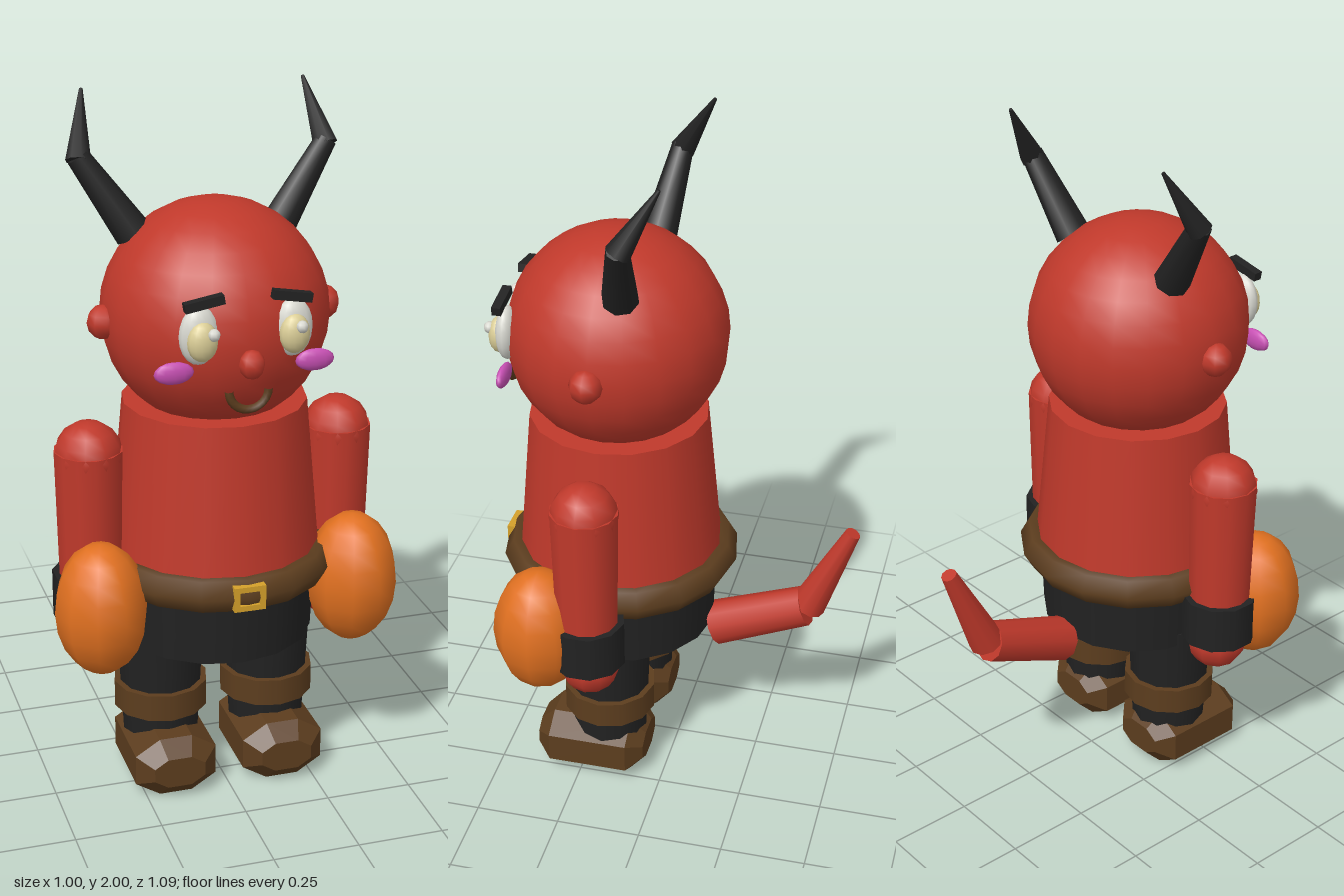
import * as THREE from 'three';

const mat = (name, color, extra = {}) => {
  const m = new THREE.MeshStandardMaterial({ color, ...extra });
  m.name = name;
  return m;
};

export function createModel() {
  const red = mat('red skin', 0xc0392b);
  const black = mat('black', 0x222222);
  const brown = mat('brown leather', 0x5c3d1e);
  const orange = mat('orange', 0xe07020);
  const white = mat('eye white', 0xd8d8d0);
  const cream = mat('cream iris', 0xdccf98);
  const pink = mat('pink', 0xc850b4);
  const gold = mat('gold', 0xd4a02a);

  const model = new THREE.Group();
  model.name = 'hornedFigure';
  const CZ = 0.175; // body axis

  const add = (name, geo, material, x, y, z) => {
    const m = new THREE.Mesh(geo, material);
    m.name = name;
    m.position.set(x, y, z);
    model.add(m);
    return m;
  };
  const ball = (name, material, [x, y, z], [rx, ry, rz], ws = 12, hs = 8) =>
    add(name, new THREE.SphereGeometry(1, ws, hs).scale(rx, ry, rz), material, x, y, z);
  // upright tapered cylinder between two heights
  const column = (name, material, x, z, y0, y1, r0, r1, sides) =>
    add(name, new THREE.CylinderGeometry(r1, r0, y1 - y0, sides), material, x, (y0 + y1) / 2, z);
  // tapered cylinder between two points
  const limb = (name, material, a, b, ra, rb, sides = 8) => {
    const p = new THREE.Vector3(...a), q = new THREE.Vector3(...b);
    const dir = q.clone().sub(p);
    const m = add(name, new THREE.CylinderGeometry(rb, ra, dir.length(), sides), material, 0, 0, 0);
    m.position.copy(p).add(q).multiplyScalar(0.5);
    m.quaternion.setFromUnitVectors(new THREE.Vector3(0, 1, 0), dir.normalize());
    return m;
  };

  // Head, body and hips
  ball('head', red, [0, 1.408, CZ], [0.317, 0.317, 0.317], 20, 16);
  column('torso', red, 0, CZ, 0.70, 1.16, 0.302, 0.26, 16);
  column('hips', black, 0, CZ, 0.46, 0.71, 0.282, 0.292, 16);

  // Belt with a framed buckle
  add('belt', new THREE.TorusGeometry(0.298, 0.053, 6, 16).rotateX(Math.PI / 2), brown, 0, 0.688, CZ);
  for (const y of [0.66, 0.716]) {
    add('buckleBar', new THREE.BoxGeometry(0.09, 0.016, 0.03), gold, 0, y, 0.505);
  }
  for (const x of [-0.037, 0.037]) {
    add('buckleSide', new THREE.BoxGeometry(0.016, 0.07, 0.03), gold, x, 0.688, 0.505);
  }

  // Face
  ball('nose', red, [0, 1.363, 0.51], [0.036, 0.04, 0.034], 8, 6);
  add('mouth', new THREE.TorusGeometry(0.055, 0.012, 6, 12, Math.PI).rotateZ(Math.PI), brown, 0, 1.285, 0.486);

  // Shoe: octagonal section along z with chamfered heel and toe
  const w = 0.075, h = 0.045, c = 0.04;
  const section = new THREE.Shape([
    [w - c, -h], [w, -h + 0.025], [w, h - 0.025], [w - c, h],
    [-w + c, h], [-w, h - 0.025], [-w, -h + 0.025], [-w + c, -h],
  ].map(([x, y]) => new THREE.Vector2(x, y)));
  const shoeGeo = new THREE.ExtrudeGeometry(section, {
    depth: 0.24, bevelEnabled: true, bevelThickness: 0.045, bevelSize: 0.045, bevelSegments: 1, steps: 1,
  });
  shoeGeo.center();

  for (const s of [-1, 1]) {
    // Eyes, brows, cheeks and ears
    ball('eyeWhite', white, [s * 0.129, 1.438, 0.458], [0.055, 0.08, 0.032], 14, 10);
    ball('iris', cream, [s * 0.126, 1.428, 0.482], [0.042, 0.054, 0.03], 14, 10);
    ball('pupil', white, [s * 0.126 + 0.012 + (s < 0 ? 0.012 : 0), 1.452, 0.506], [0.017, 0.017, 0.017], 8, 6);
    const brow = add('eyebrow', new THREE.BoxGeometry(0.108, 0.025, 0.026), black, s * 0.12, 1.53, 0.473);
    brow.rotation.z = -s * 0.17;
    ball('cheek', pink, [s * 0.195, 1.338, 0.451], [0.055, 0.031, 0.016], 12, 8);
    ball('ear', red, [s * 0.316, 1.405, 0.18], [0.046, 0.048, 0.048], 8, 6);

    // Horns in two tapering sections
    limb('hornBase', black, [s * 0.21, 1.625, 0.108], [s * 0.352, 1.838, 0.073], 0.052, 0.032);
    limb('hornTip', black, [s * 0.35, 1.825, 0.075], [s * 0.315, 1.998, -0.027], 0.036, 0.005);

    // Arms
    ball('shoulder', red, [s * 0.365, 1.023, 0.18], [0.098, 0.098, 0.098], 10, 8);
    column('arm', red, s * 0.365, 0.18, 0.55, 1.04, 0.088, 0.098, 12);
    column('wristBand', black, s * 0.365, 0.18, 0.53, 0.67, 0.11, 0.11, 10);
    ball('hand', red, [s * 0.365, 0.512, 0.175], [0.088, 0.088, 0.088], 10, 8);
    ball('glove', orange, [s * 0.37, 0.617, 0.32], [0.132, 0.195, 0.135], 10, 10);

    // Legs
    column('leg', black, s * 0.162, CZ, 0.14, 0.5, 0.112, 0.13, 12);
    column('bootCuff', brown, s * 0.162, CZ, 0.22, 0.3, 0.138, 0.138, 12);
    const flatBrown = s; // both shoes share one faceted geometry
    add('shoe', shoeGeo, brown, flatBrown * 0.162, 0.09, 0.22);
  }

  // Tail in two sections
  limb('tailBase', red, [0, 0.445, -0.115], [0, 0.555, -0.39], 0.068, 0.06, 10);
  limb('tailTip', red, [0, 0.56, -0.397], [0, 0.836, -0.52], 0.053, 0.023, 10);

  return model;
}
